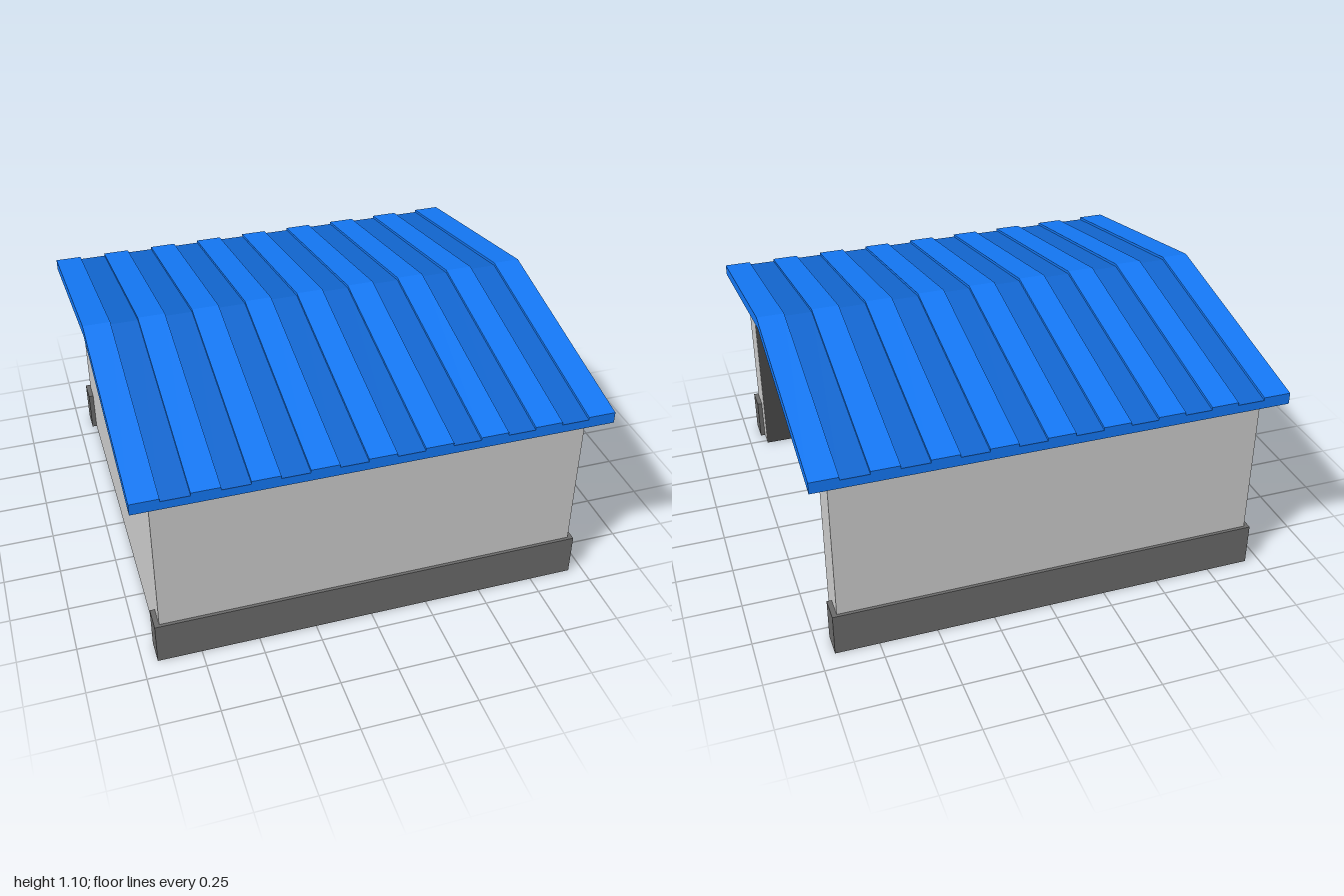
import * as THREE from 'three';

const grey = new THREE.MeshStandardMaterial({ color: 0xcccccc });
const darkGrey = new THREE.MeshStandardMaterial({ color: 0x6a6a6a });
const innerGrey = new THREE.MeshStandardMaterial({ color: 0x484848, side: THREE.DoubleSide });
const blue = new THREE.MeshStandardMaterial({ color: 0x1478f5 });
const deepBlue = new THREE.MeshStandardMaterial({ color: 0x1266d0 });

const WALL_X = 0.917, WALL_Z = 0.9, EAVE = 0.86;   // outer walls
const BAY_Z = 0.733, BAY_Y = 0.737, BAY_BACK = -0.78; // inner bay
const ROOF_Z = 0.98, SLOPE = 0.2, RIDGE = 1.05;    // underside of the roof

const shapeOf = (points) => new THREE.Shape(points.map(([x, y]) => new THREE.Vector2(x, y)));

// Extrudes a symmetric (z, y) profile along x, from x0 to x1
function alongX(shape, x0, x1) {
  const geometry = new THREE.ExtrudeGeometry(shape, { depth: x1 - x0, bevelEnabled: false });
  return geometry.rotateY(Math.PI / 2).translate(x0, 0, 0);
}

// Roof layer between two heights above the underside
function chevron(low, high) {
  const drop = ROOF_Z * SLOPE;
  return shapeOf([
    [-ROOF_Z, RIDGE - drop + low], [0, RIDGE + low], [ROOF_Z, RIDGE - drop + low],
    [ROOF_Z, RIDGE - drop + high], [0, RIDGE + high], [-ROOF_Z, RIDGE - drop + high],
  ]);
}

export function createModel() {
  const model = new THREE.Group();
  const add = (name, geometry, material, parent = model) => {
    const mesh = new THREE.Mesh(geometry, material);
    mesh.name = name;
    parent.add(mesh);
    return mesh;
  };
  const group = (name) => {
    const g = new THREE.Group();
    g.name = name;
    model.add(g);
    return g;
  };

  // Side walls and lintel around the open bay, and the closed end wall
  const portal = shapeOf([
    [-WALL_Z, 0], [-BAY_Z, 0], [-BAY_Z, BAY_Y], [BAY_Z, BAY_Y],
    [BAY_Z, 0], [WALL_Z, 0], [WALL_Z, EAVE], [-WALL_Z, EAVE],
  ]);
  add('walls', alongX(portal, BAY_BACK, WALL_X), grey);
  const endDepth = BAY_BACK + WALL_X;
  add('endWall', new THREE.BoxGeometry(endDepth, EAVE, WALL_Z * 2)
    .translate(-WALL_X + endDepth / 2, EAVE / 2, 0), grey);

  // Dark lining of the bay
  const lining = group('bayLining');
  const gap = 0.003, length = WALL_X - BAY_BACK - gap, midX = (WALL_X + BAY_BACK) / 2;
  for (const s of [-1, 1]) {
    add('sideLining', new THREE.PlaneGeometry(length, BAY_Y)
      .rotateY(s > 0 ? Math.PI : 0).translate(midX, BAY_Y / 2, s * (BAY_Z - gap)), innerGrey, lining);
  }
  add('endLining', new THREE.PlaneGeometry(BAY_Z * 2, BAY_Y)
    .rotateY(Math.PI / 2).translate(BAY_BACK + gap, BAY_Y / 2, 0), innerGrey, lining);
  add('ceiling', new THREE.PlaneGeometry(length, BAY_Z * 2)
    .rotateX(Math.PI / 2).translate(midX, BAY_Y - gap, 0), innerGrey, lining);

  // Plinths along both long walls
  for (const s of [-1, 1]) {
    add('plinth', new THREE.BoxGeometry(1.876, 0.19, 0.106).translate(0, 0.095, s * 0.861), darkGrey);
  }

  // Gable infill under the roof
  const gable = shapeOf([
    [-WALL_Z, EAVE], [WALL_Z, EAVE], [WALL_Z, RIDGE - WALL_Z * SLOPE - 0.002],
    [0, RIDGE - 0.002], [-WALL_Z, RIDGE - WALL_Z * SLOPE - 0.002],
  ]);
  add('gable', alongX(gable, -WALL_X, WALL_X), darkGrey);

  // Roof slab with alternating raised and low panels
  const roof = group('roof');
  add('roofSlab', alongX(chevron(0, 0.034), -1, 1), blue, roof);
  const count = 17, width = 2 / count;
  for (let i = 0; i < count; i++) {
    const raised = i % 2 === 0, x = -1 + i * width;
    add(raised ? 'raisedPanel' : 'lowPanel',
      alongX(chevron(0.034, raised ? 0.05 : 0.038), x, x + width), raised ? blue : deepBlue, roof);
  }

  // Triangular brackets under the overhang at both ends
  const bracket = new THREE.ExtrudeGeometry(shapeOf([[0, -0.106], [0.07, 0], [0, 0]]),
    { depth: 0.016, bevelEnabled: false }).translate(0, 0, -0.008);
  for (const s of [-1, 1]) {
    for (const z of [-0.72, -0.365, 0, 0.365, 0.72]) {
      const mesh = add('bracket', bracket, blue);
      mesh.position.set(s * WALL_X, RIDGE - Math.abs(z) * SLOPE, z);
      mesh.rotation.y = s > 0 ? 0 : Math.PI;
    }
  }
  return model;
}
